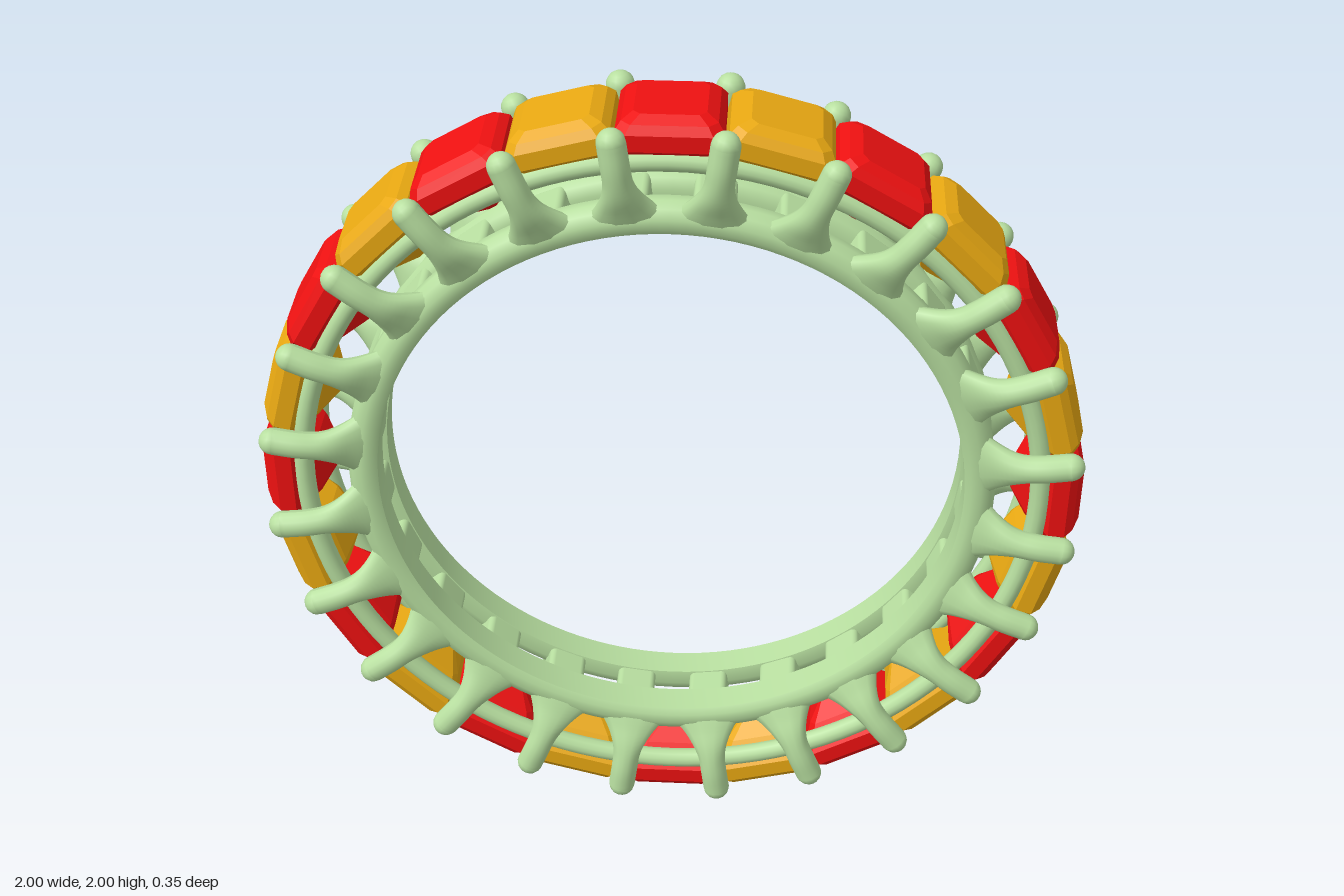
import * as THREE from 'three';
import { toCreasedNormals } from 'three/addons/utils/BufferGeometryUtils.js';
import { ConvexGeometry } from 'three/addons/geometries/ConvexGeometry.js';
import { RoundedBoxGeometry } from 'three/addons/geometries/RoundedBoxGeometry.js';

const COUNT = 24;
const STEP = (Math.PI * 2) / COUNT;

// Cut stone pointing outward along +y: chamfered square sections from culet to table
function gemGeometry() {
  const sections = [
    [0.825, 0.012], [0.87, 0.075], [0.925, 0.122],
    [0.965, 0.122], [0.985, 0.108], [1.0, 0.082],
  ];
  const points = [];
  for (const [r, h] of sections) {
    const c = h * 0.8;
    for (const sx of [-1, 1]) for (const sz of [-1, 1]) {
      points.push(new THREE.Vector3(sx * h, r, sz * c), new THREE.Vector3(sx * c, r, sz * h));
    }
  }
  return new ConvexGeometry(points);
}

// Claw rising from the band, its foot spreading sideways into an arch
function prongGeometry() {
  const path = new THREE.CatmullRomCurve3([
    [0.752, 0.088], [0.79, 0.106], [0.84, 0.13], [0.9, 0.142], [0.966, 0.142],
  ].map(([r, z]) => new THREE.Vector3(0, r, z)));
  const geometry = new THREE.TubeGeometry(path, 20, 0.034, 14, false);
  const p = geometry.attributes.position;
  for (let i = 0; i < p.count; i++) {
    const t = THREE.MathUtils.clamp((0.88 - p.getY(i)) / 0.13, 0, 1);
    p.setX(i, p.getX(i) * (1 + 2 * t * t));
  }
  geometry.computeVertexNormals();
  return geometry;
}

// Half of the inner band: flat bore, rounded outside
function bandGeometry() {
  const profile = [
    [0.715, 0.035], [0.75, 0.03], [0.775, 0.042], [0.79, 0.065], [0.79, 0.09],
    [0.778, 0.112], [0.755, 0.124], [0.73, 0.122], [0.715, 0.112], [0.715, 0.035],
  ].map(([r, z]) => new THREE.Vector2(r, z));
  return toCreasedNormals(new THREE.LatheGeometry(profile, 120), 0.8);
}

export function createModel() {
  const model = new THREE.Group();
  const ring = new THREE.Group();
  ring.name = 'ring';
  ring.position.y = 1;
  model.add(ring);

  const metal = new THREE.MeshStandardMaterial({ color: 0xb8dfa0 });
  const red = new THREE.MeshStandardMaterial({ color: 0xee1111, flatShading: true });
  const amber = new THREE.MeshStandardMaterial({ color: 0xe8a812, flatShading: true });

  const add = (parent, name, geometry, material) => {
    const mesh = new THREE.Mesh(geometry, material);
    mesh.name = name;
    parent.add(mesh);
    return mesh;
  };

  // Inner band halves and the rails under the stones
  const band = bandGeometry();
  const rail = new THREE.TorusGeometry(0.897, 0.025, 12, 120);
  for (const side of [1, -1]) {
    add(ring, 'innerBand', band, metal).rotation.x = side * Math.PI / 2;
    add(ring, 'stoneRail', rail, metal).position.z = side * 0.102;
  }

  const gem = gemGeometry();
  const prong = prongGeometry();
  const tip = new THREE.SphereGeometry(0.034, 14, 10);
  const bridge = new RoundedBoxGeometry(0.1, 0.065, 0.13, 3, 0.015);

  for (let i = 0; i < COUNT; i++) {
    // Stones alternate in colour
    add(ring, 'gem', gem, i % 2 ? amber : red).rotation.z = -i * STEP;

    // Claws on both faces and a bridge across the band between stones
    const setting = new THREE.Group();
    setting.name = 'setting';
    setting.rotation.z = -(i + 0.5) * STEP;
    ring.add(setting);
    add(setting, 'bandBridge', bridge, metal).position.y = 0.75;
    for (const side of [0, 1]) {
      const claw = new THREE.Group();
      claw.name = 'claw';
      claw.rotation.y = side * Math.PI;
      setting.add(claw);
      add(claw, 'prong', prong, metal);
      add(claw, 'prongTip', tip, metal).position.set(0, 0.966, 0.142);
    }
  }
  return model;
}
